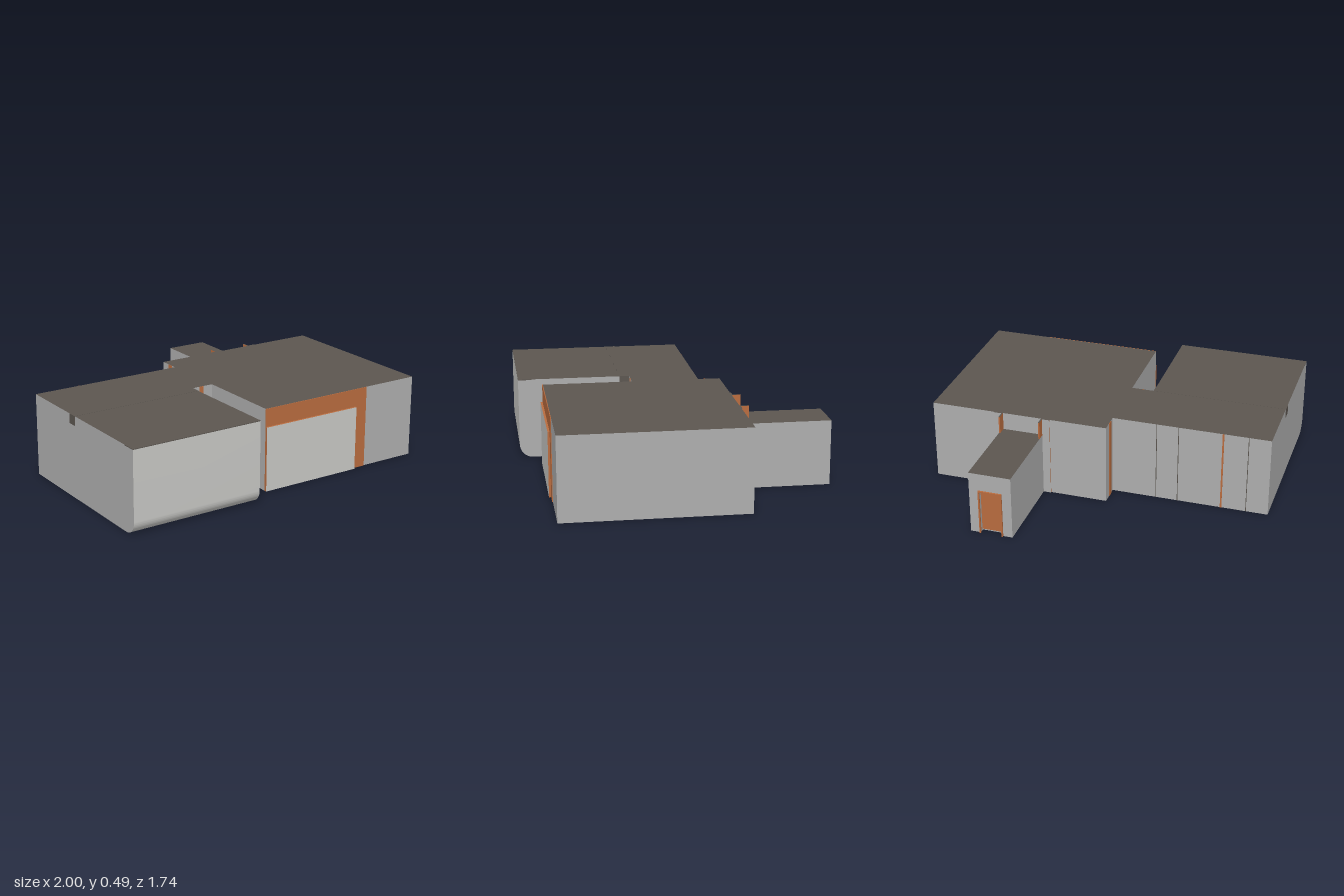
import * as THREE from 'three';
import { toCreasedNormals } from 'three/addons/utils/BufferGeometryUtils.js';

const H = 0.485, LOW = 0.38;

export function createModel() {
  const model = new THREE.Group();
  model.name = 'building';

  const mat = (name, color) => {
    const m = new THREE.MeshStandardMaterial({ color });
    m.name = name;
    return m;
  };
  const wall = mat('wall grey', 0xaeaeae);
  const pale = mat('pale panel', 0xc9c9c6);
  const roof = mat('roof dark', 0x5c5650);
  const orange = mat('rust orange', 0xb96c3f);

  // Box from min/max limits; materials in the order +x -x +y -y +z -z
  const box = (name, x0, x1, y0, y1, z0, z1, material) => {
    const g = new THREE.BoxGeometry(x1 - x0, y1 - y0, z1 - z0);
    g.translate((x0 + x1) / 2, (y0 + y1) / 2, (z0 + z1) / 2);
    const mesh = new THREE.Mesh(g, material);
    mesh.name = name;
    model.add(mesh);
    return mesh;
  };
  const block = [wall, wall, roof, wall, wall, wall];

  // Main volumes
  box('mainHall', -0.065, 1, 0, H, -0.33, 0.73, block);
  box('connector', -0.2, -0.065, 0, H, -0.2, 0.2, block);
  box('wing', -1, -0.2, 0, H, -0.2, 0.79, block);

  // Wing front with a rounded lower edge
  const r = 0.08;
  const s = new THREE.Shape();
  s.moveTo(0.79, 0);
  s.absarc(0.79, r, r, -Math.PI / 2, 0, false);
  s.lineTo(0.87, H - 0.004);
  s.lineTo(0.79, H - 0.004);
  s.closePath();
  const nose = new THREE.ExtrudeGeometry(s, { depth: 0.8, bevelEnabled: false, curveSegments: 12 });
  nose.rotateY(-Math.PI / 2);
  nose.translate(-0.2, 0, 0);
  const noseMesh = new THREE.Mesh(toCreasedNormals(nose, 0.5), [wall, pale]);
  noseMesh.name = 'wingFront';
  model.add(noseMesh);
  box('wingFrontRoof', -1, -0.2, H - 0.004, H, 0.79, 0.87, roof);

  // Roof beam just proud of the wing
  box('roofBeam', -1.002, -0.198, 0.43, H + 0.001, 0.2, 0.26, roof);

  // Front surround and raised panel
  box('frontSurroundTop', -0.065, 0.57, LOW, H, 0.73, 0.734, orange);
  box('frontSurroundSide', 0.57, 0.65, 0, H, 0.73, 0.734, orange);
  box('frontPanel', -0.065, 0.57, 0, LOW, 0.73, 0.746,
    [orange, orange, orange, wall, pale, orange]);

  // Rear annex with a recessed doorway
  box('annex', 0.32, 0.57, 0, LOW, -0.83, -0.33, block);
  box('annexPier', 0.32, 0.38, 0, LOW, -0.86, -0.83, block);
  box('annexPier', 0.51, 0.57, 0, LOW, -0.86, -0.83, block);
  box('annexLintel', 0.38, 0.51, 0.27, LOW, -0.86, -0.83, block);
  box('annexDoor', 0.38, 0.51, 0.01, 0.27, -0.836, -0.83, orange);
  for (const x of [0.375, 0.507]) box('doorFrameSide', x, x + 0.008, 0, 0.275, -0.87, -0.86, orange);
  box('doorFrameTop', 0.375, 0.515, 0.267, 0.275, -0.87, -0.86, orange);

  // Fins above the annex and wall strips beside it
  for (const x of [0.32, 0.562])
    box('annexFin', x, x + 0.008, LOW, H, -0.382, -0.33,
      [orange, orange, roof, wall, wall, orange]);
  for (const [x0, x1] of [[0.275, 0.32], [0.57, 0.62]])
    box('backStrip', x0, x1, 0, H, -0.336, -0.33,
      [orange, orange, roof, wall, wall, wall]);

  // Slim vertical trims
  box('cornerTrim', -0.068, -0.065, 0, H, -0.27, -0.235, orange);
  box('wingBackTrim', -0.727, -0.717, 0, H, -0.202, -0.2, orange);
  for (const x of [-0.33, -0.46, -0.87])
    box('wingBackJoint', x - 0.002, x + 0.002, 0, H, -0.201, -0.2, roof);
  box('courtTrim', -0.15, -0.125, 0, H, 0.2, 0.203, orange);

  return model;
}
